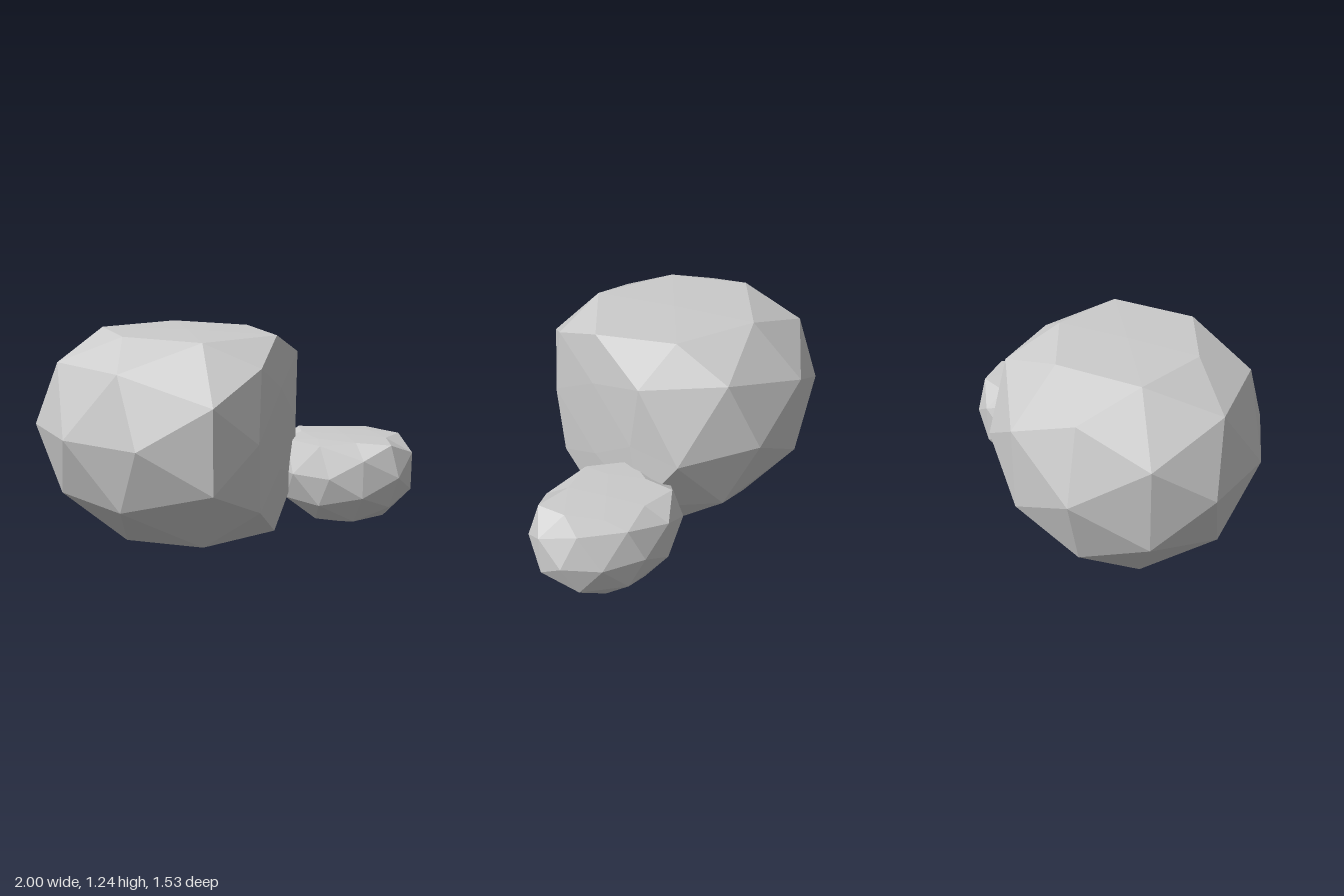
import * as THREE from 'three';

const material = new THREE.MeshStandardMaterial({ color: 0xcccccc, flatShading: true });

// Presses values beyond a limit almost flat, leaving a faint bulge
const press = (v, limit, softness) => (v > limit ? limit + (v - limit) * softness : v);

// Faceted boulder: a stretched icosphere with its top (and optionally +x side) pressed flat
function makeRock(name, center, radii, topLimit, sideLimit = Infinity) {
  const geometry = new THREE.IcosahedronGeometry(1, 1);
  // Bring one five-sided corner to the front, with a neighbour towards -x
  geometry.rotateX(Math.atan(2 / (1 + Math.sqrt(5))));
  geometry.rotateZ(-Math.PI / 2);
  geometry.scale(...radii);
  geometry.translate(...center);

  const p = geometry.attributes.position;
  for (let i = 0; i < p.count; i++) {
    p.setX(i, press(p.getX(i), sideLimit, 0.065));
    p.setY(i, press(p.getY(i), topLimit, 0.06));
  }
  geometry.computeVertexNormals();

  const mesh = new THREE.Mesh(geometry, material);
  mesh.name = name;
  return mesh;
}

export function createModel() {
  const group = new THREE.Group();
  group.name = 'rocks';
  group.add(
    makeRock('largeRock', [-0.18, 0.723, 0.03], [0.862, 0.723, 0.732], 1.222, 0.335),
    makeRock('smallRock', [0.6, 0.42, -0.435], [0.42, 0.346, 0.333], 0.595),
  );
  return group;
}
